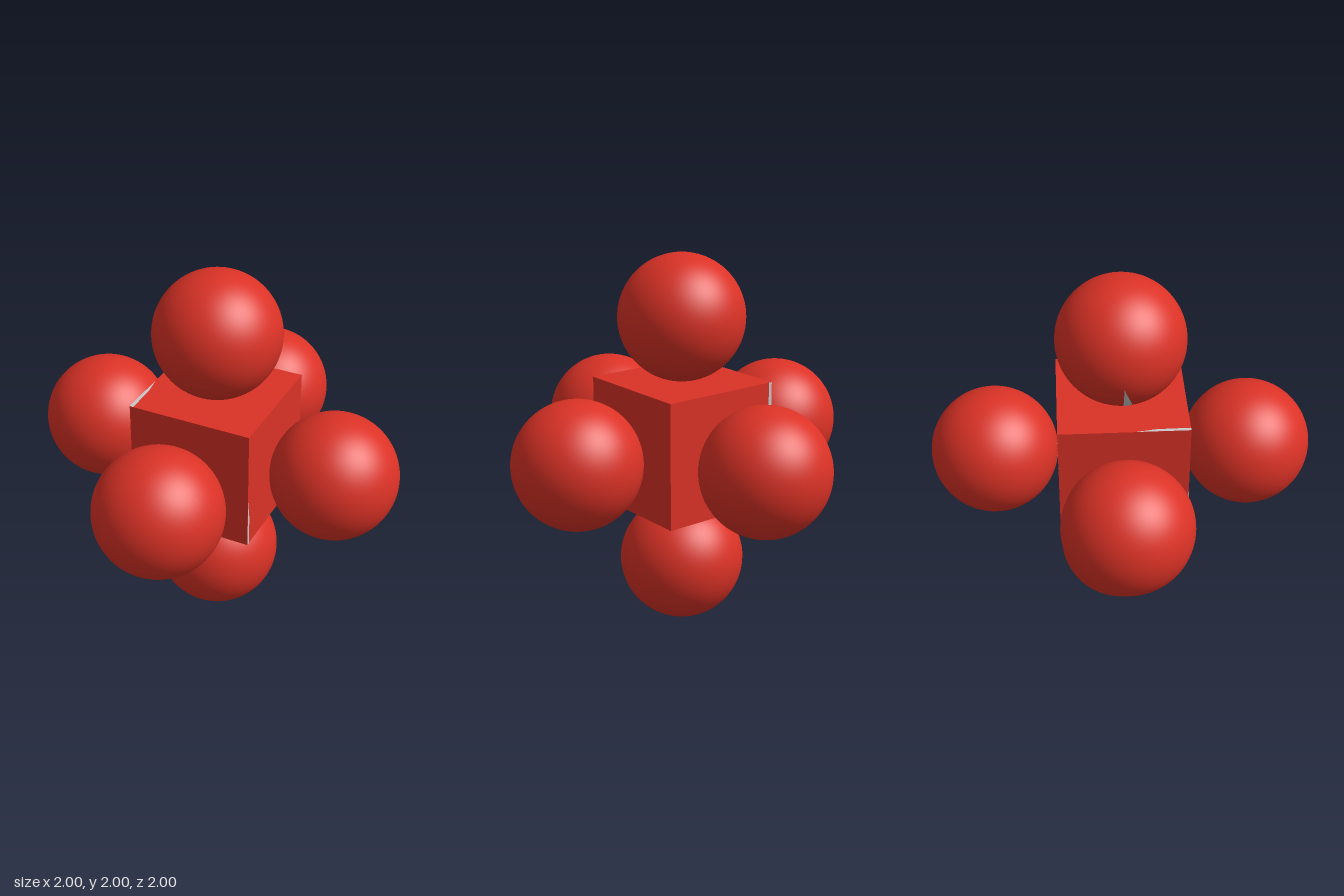
import * as THREE from 'three';

const R = 1 / 3; // ball radius and half the cube's side

export function createModel() {
  const red = new THREE.MeshStandardMaterial({ color: 0xdb3226 });
  red.name = 'red';
  const grey = new THREE.MeshStandardMaterial({ color: 0xc8c8c8, side: THREE.DoubleSide });
  grey.name = 'light grey';

  const model = new THREE.Group();
  model.name = 'cubeWithBalls';
  const body = new THREE.Group();
  body.name = 'body';
  body.position.y = 1;
  model.add(body);

  const add = (parent, name, geometry, material) => {
    const mesh = new THREE.Mesh(geometry, material);
    mesh.name = name;
    parent.add(mesh);
    return mesh;
  };

  // central cube
  add(body, 'cube', new THREE.BoxGeometry(2 * R, 2 * R, 2 * R), red);

  // thin bare strip along part of one edge of each cube face
  const strip = new THREE.Shape([[0, 0], [0.02, 0], [0.018, 0.17], [0, 0.28]]
    .map(([x, y]) => new THREE.Vector2(x - R, y - R)));
  const stripGeometry = new THREE.ShapeGeometry(strip).translate(0, 0, R + 0.001);
  const faces = [[0, 0], [-1, 0], [2, 0], [1, 0], [0, 1], [0, -1]];
  faces.forEach(([x, y], i) => {
    const mesh = add(body, 'faceStrip', stripGeometry, grey);
    mesh.rotation.set(x * Math.PI / 2, y * Math.PI / 2, 0);
    if (i === 5) mesh.scale.x = -1; // the right side's strip is mirrored here
  });

  // balls, each with a tapering bare strip along its seam near the cube
  const ball = new THREE.SphereGeometry(R, 64, 40);
  const length = 0.42 * Math.PI;
  const seam = new THREE.SphereGeometry(R + 0.001, 3, 20, 0, 0.18, Math.PI - length, length);
  const p = seam.attributes.position;
  for (let i = 0; i < p.count; i++) {
    const y = p.getY(i), r = Math.hypot(p.getX(i), p.getZ(i));
    const fromPole = Math.acos(THREE.MathUtils.clamp(-y / (R + 0.001), -1, 1));
    const taper = Math.min(1, Math.max(0, (length - fromPole) / (0.16 * Math.PI)));
    const phi = Math.atan2(p.getZ(i), -p.getX(i)) * taper;
    p.setXYZ(i, -Math.cos(phi) * r, y, Math.sin(phi) * r);
  }
  seam.computeVertexNormals();

  // quarter turns about x, y and z that point each ball outwards
  const balls = {
    topBall: [0, 0, 0], bottomBall: [2, 0, 0], rightBall: [0, 0, 1],
    frontBall: [0, 1, 1], leftBall: [0, 2, 1], backBall: [0, 3, 1],
  };
  for (const [name, turns] of Object.entries(balls)) {
    const unit = new THREE.Group();
    unit.name = name;
    unit.rotation.set(...turns.map((t) => t * Math.PI / 2), 'YZX');
    add(unit, 'ball', ball, red).position.y = 2 * R;
    add(unit, 'seamStrip', seam, grey).position.y = 2 * R;
    body.add(unit);
  }
  return model;
}
